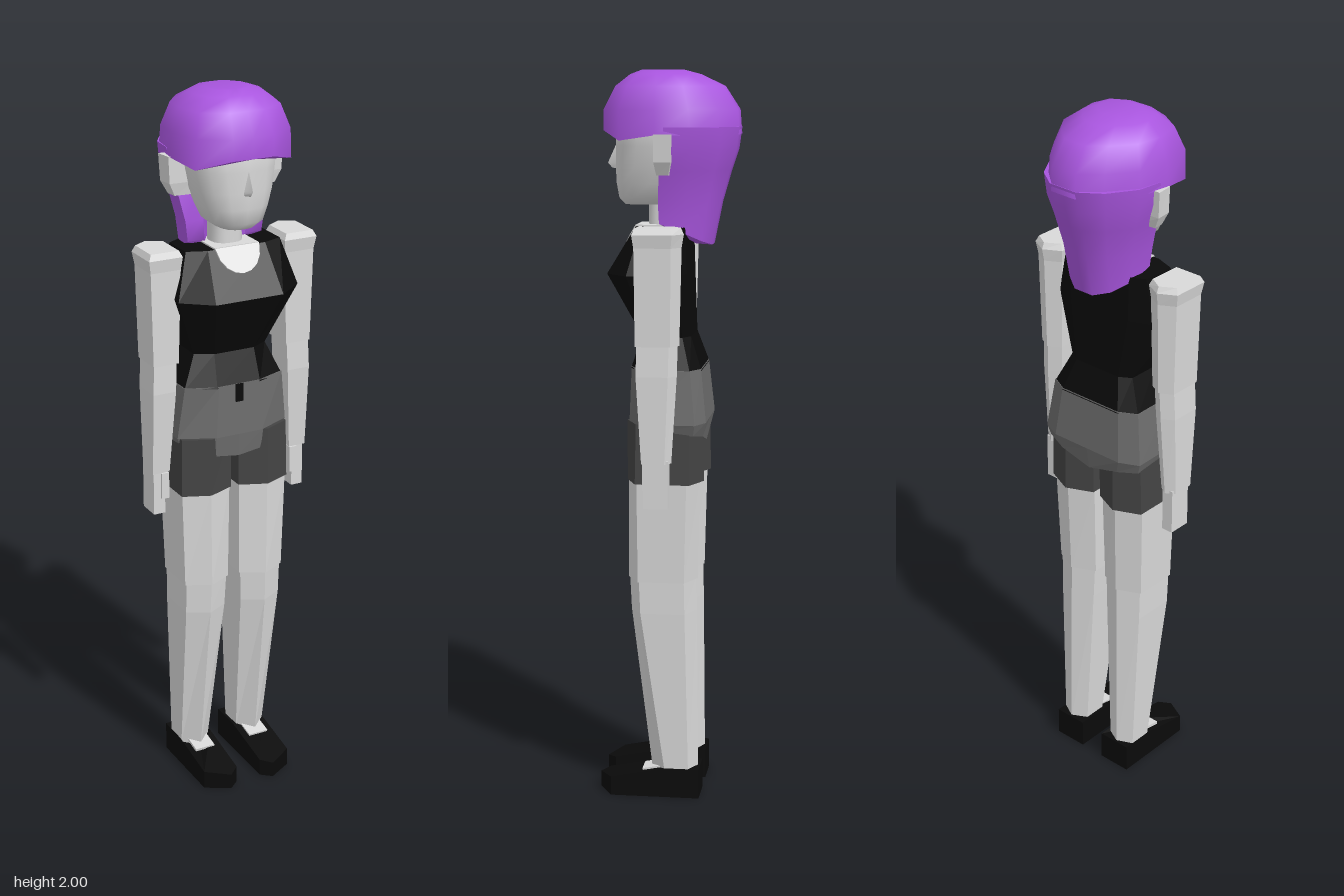
import * as THREE from 'three';
import { toCreasedNormals } from 'three/addons/utils/BufferGeometryUtils.js';

const mat = (name, color) => Object.assign(new THREE.MeshStandardMaterial({ color }), { name });

// Lofts horizontal rings, bottom to top. A ring is { y, pts: [[x, z, dy], ...] },
// ordered front, +x, back, -x. Ends are closed with fans; crease > 0 smooths.
function loft(rings, crease = 0) {
  const pos = [];
  const at = (r, j) => {
    const p = r.pts[j % r.pts.length];
    return [p[0], r.y + (p[2] || 0), p[1]];
  };
  const tri = (a, b, c) => pos.push(...a, ...b, ...c);
  const n = rings[0].pts.length;
  for (let i = 0; i < rings.length - 1; i++) {
    for (let j = 0; j < n; j++) {
      const a = at(rings[i], j), b = at(rings[i], j + 1);
      const c = at(rings[i + 1], j + 1), d = at(rings[i + 1], j);
      tri(a, b, c);
      tri(a, c, d);
    }
  }
  const lo = rings[0], hi = rings[rings.length - 1];
  for (let j = 1; j < n - 1; j++) {
    tri(at(lo, 0), at(lo, j + 1), at(lo, j));
    tri(at(hi, 0), at(hi, j), at(hi, j + 1));
  }
  const g = new THREE.BufferGeometry();
  g.setAttribute('position', new THREE.Float32BufferAttribute(pos, 3));
  g.computeVertexNormals();
  return crease ? toCreasedNormals(g, crease) : g;
}

// Completes a +x half outline (front to back) into a symmetric ring
const sym = (y, half) => ({
  y,
  pts: [...half, ...half.filter(p => p[0] > 0).reverse().map(([x, z, d]) => [-x, z, d])],
});
// Mirrors rings to the other side while keeping their winding
const flip = rings => rings.map(r => ({ y: r.y, pts: r.pts.map(([x, z, d]) => [-x, z, d]).reverse() }));

// Six-sided leg ring with front and back ridges
const hex = (y, x0, x1, zf, zfs, zbs, zb) => {
  const m = (x0 + x1) / 2;
  return { y, pts: [[m, zf], [x1, zfs], [x1, zbs], [m, zb], [x0, zbs], [x0, zfs]] };
};
// Five-sided arm ring: flat front, ridged back
const pent = (y, x0, x1, zf, zs, zb) =>
  ({ y, pts: [[x0, zf], [x1, zf], [x1, zs], [(x0 + x1) / 2, zb], [x0, zs]] });
// Rounded head ring
const oval = (y, w, zf, zb) => {
  const pts = [];
  for (let i = 0; i < 16; i++) {
    const a = (i / 16) * Math.PI * 2, s = Math.sin(a), c = Math.cos(a);
    const e = v => Math.sign(v) * Math.pow(Math.abs(v), 0.8);
    pts.push([w * e(s), (zf + zb) / 2 + ((zf - zb) / 2) * e(c)]);
  }
  return { y, pts };
};

export function createModel() {
  const model = new THREE.Group();
  model.name = 'figure';
  const skin = mat('pale skin', 0xd8d8d8);
  const black = mat('black cloth', 0x0a0a0a);
  const hipGrey = mat('hip grey', 0x6c6c6c);
  const shortsGrey = mat('shorts grey', 0x444444);
  const purple = mat('purple hair', 0xa855de);

  const add = (name, geo, material) => {
    const m = new THREE.Mesh(geo, material);
    m.name = name;
    model.add(m);
    return m;
  };
  const pair = (name, rings, material) => {
    add('left' + name, loft(rings), material);
    add('right' + name, loft(flip(rings)), material);
  };

  // Legs
  pair('ShortsLeg', [
    hex(0.895, 0.012, 0.163, 0.108, 0.078, -0.07, -0.103),
    hex(1.06, 0.012, 0.16, 0.108, 0.075, -0.07, -0.1)], shortsGrey);
  pair('Thigh', [
    hex(0.62, 0.018, 0.152, 0.106, 0.072, -0.055, -0.086),
    hex(0.9, 0.015, 0.16, 0.105, 0.074, -0.062, -0.093)], skin);
  pair('LowerLeg', [
    hex(0.07, 0.047, 0.133, 0.04, 0.0, -0.065, -0.088),
    hex(0.53, 0.026, 0.147, 0.098, 0.066, -0.056, -0.084),
    hex(0.63, 0.022, 0.148, 0.103, 0.07, -0.054, -0.082)], skin);

  // Shoes with a sloping, inward-pointing toe
  const sole = [[0.136, 0], [0.136, -0.095], [0.038, -0.095], [0.038, 0], [0.038, 0.165], [0.068, 0.19], [0.136, 0.152]];
  const rise = [0.083, 0.083, 0.083, 0.083, 0.05, 0.045, 0.053];
  pair('Shoe', [{ y: 0, pts: sole }, { y: 0, pts: sole.map(([x, z], i) => [x, z, rise[i]]) }], black);
  for (const s of [1, -1]) {
    const instep = add(s > 0 ? 'leftInstep' : 'rightInstep', new THREE.BoxGeometry(0.06, 0.008, 0.06), skin);
    instep.position.set(s * 0.088, 0.077, 0.035);
    instep.rotation.x = 0.19;
  }

  // Hips
  add('hips', loft([
    sym(1.03, [[0, 0.1, -0.035], [0.07, 0.1, -0.025], [0.155, 0.055], [0.16, -0.08], [0.1, -0.1, -0.01], [0, -0.1, -0.035]]),
    sym(1.06, [[0, 0.105], [0.07, 0.105], [0.166, 0.06], [0.17, -0.085], [0.115, -0.11], [0, -0.11]]),
    sym(1.205, [[0, 0.1], [0.06, 0.1], [0.148, 0.07], [0.15, -0.07], [0.1, -0.095], [0, -0.095]])]), hipGrey);
  add('fly', new THREE.BoxGeometry(0.022, 0.05, 0.006), black).position.set(0, 1.18, 0.102);

  // Tank top
  add('tankTop', loft([
    sym(1.2, [[0.065, 0.1], [0.148, 0.068], [0.15, -0.07], [0.1, -0.096]]),
    sym(1.29, [[0.06, 0.072], [0.108, 0.045], [0.108, -0.045], [0.075, -0.065]]),
    sym(1.46, [[0.1, 0.16], [0.178, 0.098], [0.165, -0.03], [0.1, -0.056]]),
    sym(1.585, [[0.085, 0.085], [0.14, 0.065], [0.14, -0.03], [0.1, -0.052]])]), black);

  // Bare neckline: rounded patch on the chest, and a patch around the neck
  const scoop = new THREE.Shape();
  scoop.moveTo(0.065, 0);
  scoop.lineTo(-0.065, 0);
  scoop.bezierCurveTo(-0.06, -0.1, 0.06, -0.1, 0.065, 0);
  const neckline = add('neckline', new THREE.ExtrudeGeometry(scoop, { depth: 0.005, bevelEnabled: false, curveSegments: 8 }), skin);
  neckline.position.set(0, 1.586, 0.084);
  neckline.rotation.x = -Math.atan(0.6);
  add('shoulderSkin', new THREE.BoxGeometry(0.13, 0.006, 0.11), skin).position.set(0, 1.586, 0.03);

  // Arms and hands
  pair('UpperArm', [
    pent(1.28, 0.163, 0.237, 0.066, -0.028, -0.048),
    pent(1.54, 0.156, 0.243, 0.068, -0.03, -0.054),
    pent(1.575, 0.152, 0.249, 0.073, -0.034, -0.06),
    pent(1.592, 0.16, 0.241, 0.066, -0.028, -0.052)], skin);
  pair('Forearm', [
    pent(0.965, 0.186, 0.236, 0.05, -0.012, -0.028),
    pent(1.2, 0.171, 0.238, 0.064, -0.022, -0.042),
    pent(1.29, 0.167, 0.234, 0.062, -0.024, -0.044)], skin);
  for (const s of [1, -1]) {
    const side = s > 0 ? 'left' : 'right';
    add(side + 'Hand', new THREE.BoxGeometry(0.034, 0.13, 0.066), skin).position.set(s * 0.215, 0.908, 0.012);
    add(side + 'Thumb', new THREE.BoxGeometry(0.022, 0.075, 0.026), skin).position.set(s * 0.199, 0.925, 0.038);
  }

  // Neck, head and face
  add('neck', loft([oval(1.56, 0.045, 0.06, -0.03), oval(1.68, 0.042, 0.06, -0.03)], 0.9), skin);
  add('head', loft([
    oval(1.642, 0.05, 0.125, -0.005), oval(1.66, 0.076, 0.141, -0.03),
    oval(1.7, 0.094, 0.148, -0.06), oval(1.745, 0.111, 0.15, -0.09),
    oval(1.8, 0.124, 0.149, -0.12), oval(1.86, 0.132, 0.15, -0.13),
    oval(1.92, 0.11, 0.12, -0.11)], 1.0), skin);
  add('nose', loft([
    { y: 1.738, pts: [[0, 0.16], [0.018, 0.14], [-0.018, 0.14]] },
    { y: 1.752, pts: [[0, 0.172], [0.016, 0.14], [-0.016, 0.14]] },
    { y: 1.8, pts: [[0, 0.15], [0.006, 0.14], [-0.006, 0.14]] }], 1.2), skin);
  for (const s of [1, -1]) {
    const side = s > 0 ? 'left' : 'right';
    const eye = add(side + 'Eye', new THREE.BoxGeometry(0.016, 0.009, 0.006), black);
    eye.position.set(s * 0.058, 1.803, 0.134);
    eye.rotation.y = s * 0.4;
  }
  pair('Ear', [
    { y: 1.725, pts: [[0.1, 0.024], [0.148, 0.02], [0.152, -0.012], [0.1, -0.015]] },
    { y: 1.76, pts: [[0.1, 0.03], [0.165, 0.026], [0.17, -0.02], [0.1, -0.02]] },
    { y: 1.832, pts: [[0.1, 0.03], [0.168, 0.026], [0.174, -0.022], [0.1, -0.02]] }], skin);

  // Hair cap with a fringe dipping at the temples
  const outline = [[0, 0.173, 0.01], [0.06, 0.173, 0.01], [0.14, 0.12, -0.015], [0.163, 0.02, 0],
    [0.15, -0.07, 0], [0.095, -0.145, 0], [0.04, -0.193, 0], [0, -0.193, 0]];
  const cap = (y, sx, zf, zb, dip = 0) => sym(y, outline.map(([x, z, d]) =>
    [x * sx, zb + ((z + 0.193) / 0.366) * (zf - zb), d * dip]));
  add('hairCap', loft([
    cap(1.83, 1, 0.174, -0.19, 1), cap(1.895, 0.975, 0.174, -0.185),
    cap(1.957, 0.84, 0.143, -0.145), cap(1.988, 0.58, 0.105, -0.08),
    cap(2.0, 0.36, 0.075, -0.035)], 1.0), purple);

  // Long back hair, hollow towards the neck
  const lock = (y, w, zb, zf, front = 0) => sym(y, [[0, zb * 0.6], [w * 0.55, zf, front], [w, zf, front],
    [w * 0.95, zb * 0.38, front * 0.6], [w * 0.65, zb * 0.78, front * 0.2], [w * 0.28, zb], [0, zb]]);
  add('backHair', loft([
    lock(1.535, 0.11, -0.117, 0.018, 0.06), lock(1.65, 0.117, -0.14, 0.02),
    lock(1.735, 0.138, -0.164, 0.015), lock(1.79, 0.155, -0.182, 0.0),
    lock(1.85, 0.16, -0.19, 0.0)], 1.0), purple);

  return model;
}
